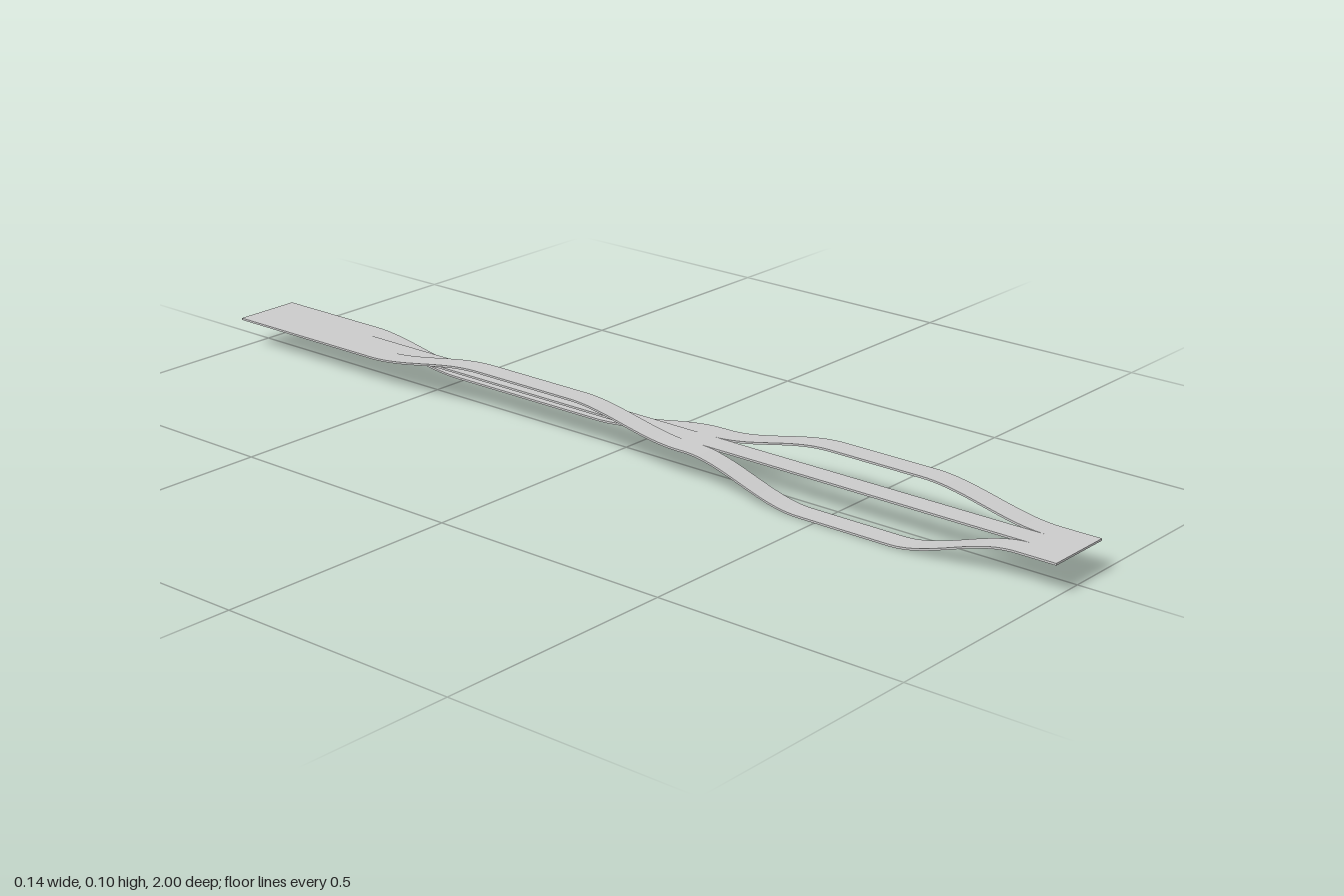
import * as THREE from 'three';

const LENGTH = 2, THICK = 0.004, MID_Y = 0.06, OUTER = 0.071, INNER = 0.024;

const smooth = (a, b, v) => THREE.MathUtils.smoothstep(v, a, b);

// Each bulge: offset in y, then z of its start, flat begin, flat end and finish
const bow = (bulges, z) => bulges.reduce((sum, [h, a, b, c, d]) =>
  sum + h * smooth(a, b, z) * (1 - smooth(c, d, z)), 0);

// A long flat strip whose cross-section rises and falls along z
function strand(name, x0, x1, bulges) {
  const geo = new THREE.BoxGeometry(x1 - x0, THICK, LENGTH, 1, 1, 200);
  geo.translate((x0 + x1) / 2, MID_Y, 0);
  const p = geo.attributes.position;
  for (let i = 0; i < p.count; i++) p.setY(i, p.getY(i) + bow(bulges, p.getZ(i)));
  geo.computeVertexNormals();
  const mesh = new THREE.Mesh(geo, new THREE.MeshStandardMaterial({ color: 0xcccccc }));
  mesh.name = name;
  return mesh;
}

export function createModel() {
  const group = new THREE.Group();
  group.name = 'slitStrip';
  group.add(
    // straight core
    strand('middleStrand', -INNER, INNER, []),
    // left strand: down at the rear, up at the front
    strand('leftStrand', INNER, OUTER, [
      [-0.034, -0.74, -0.47, -0.1, 0.18],
      [0.04, 0.19, 0.46, 0.66, 0.92],
    ]),
    // right strand: up at the rear, down at the front
    strand('rightStrand', -OUTER, -INNER, [
      [0.036, -0.62, -0.32, -0.08, 0.18],
      [-0.058, 0.2, 0.46, 0.66, 0.92],
    ]),
  );
  return group;
}
